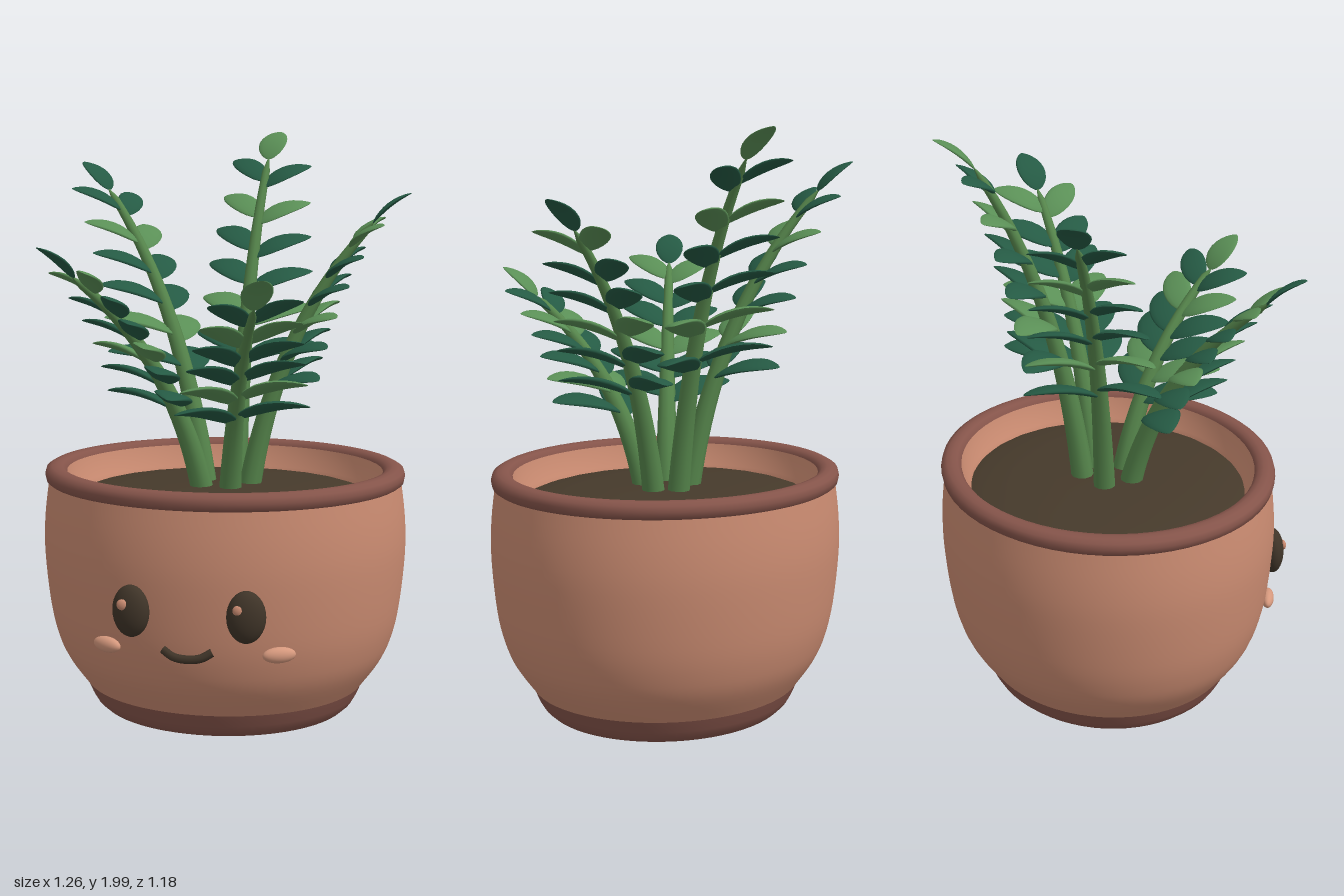
import * as THREE from 'three';

const mat = (name, color) => {
  const m = new THREE.MeshStandardMaterial({ color });
  m.name = name;
  return m;
};
const V2 = (x, y) => new THREE.Vector2(x, y);
const V3 = (x, y, z) => new THREE.Vector3(x, y, z);
const UP = V3(0, 1, 0);
const { lerp, clamp } = THREE.MathUtils;

// unit leaf along +z: a flattened lens with a pointed tip and an arched spine
function leafGeometry() {
  const g = new THREE.SphereGeometry(1, 14, 12);
  const p = g.attributes.position;
  for (let i = 0; i < p.count; i++) {
    const u = clamp((p.getY(i) + 1) / 2, 0, 1);
    const r = Math.sqrt(Math.max(1e-9, 1 - (2 * u - 1) ** 2));
    const w = Math.pow(u, 0.6) * Math.pow(1 - u, 0.7) / 0.41;
    const c = p.getX(i) / r, s = p.getZ(i) / r;
    p.setXYZ(i, c * w * 0.24, -s * w * 0.05 + 0.35 * u * (1 - u), u);
  }
  g.computeVertexNormals();
  return g;
}

// tube that tapers along its curve and closes at the tip
function taperedTube(curve, r0, r1) {
  const n = 20, sides = 10;
  const g = new THREE.TubeGeometry(curve, n, 1, sides);
  const p = g.attributes.position, v = V3();
  for (let i = 0; i <= n; i++) {
    const c = curve.getPointAt(i / n);
    const r = i === n ? 0.001 : lerp(r0, r1, i / (n - 1));
    for (let j = 0; j <= sides; j++) {
      const k = i * (sides + 1) + j;
      v.fromBufferAttribute(p, k).sub(c).multiplyScalar(r).add(c);
      p.setXYZ(k, v.x, v.y, v.z);
    }
  }
  return g;
}

export function createModel() {
  const model = new THREE.Group();
  const clay = mat('clay', 0xca8b71);
  const darkClay = mat('dark clay', 0x85544a);
  const soilMat = mat('soil', 0x463a2b);
  const faceMat = mat('face brown', 0x3f3428);
  const blush = mat('blush', 0xd5987d);
  const stemMat = mat('stem green', 0x56864c);
  const lightLeaf = mat('light leaf', 0x5a8f56);
  const darkLeaf = mat('dark leaf', 0x255a44);

  const add = (parent, name, geo, material, pos = [0, 0, 0]) => {
    const m = new THREE.Mesh(geo, material);
    m.name = name;
    m.position.set(...pos);
    parent.add(m);
    return m;
  };
  const lathe = pts => new THREE.LatheGeometry(pts.map(p => V2(...p)), 64);

  // slightly oval pot
  const pot = new THREE.Group();
  pot.name = 'pot';
  pot.scale.z = 0.922;
  pot.position.z = -0.013;
  model.add(pot);

  const wall = new THREE.SplineCurve([
    V2(0.485, 0.09), V2(0.55, 0.18), V2(0.585, 0.26), V2(0.61, 0.37),
    V2(0.627, 0.55), V2(0.624, 0.68), V2(0.608, 0.81),
  ]).getPoints(24);
  add(pot, 'outer wall', new THREE.LatheGeometry(wall, 64), clay);
  add(pot, 'inner wall', lathe([[0.547, 0.83], [0.537, 0.79], [0.52, 0.755], [0.505, 0.72],
    [0.49, 0.6], [0.475, 0.4], [0.44, 0.2], [0.36, 0.12], [0.13, 0.1]]), clay);
  add(pot, 'foot', lathe([[0.13, 0.1], [0.135, 0.07], [0.16, 0.04], [0.22, 0.015], [0.32, 0.003],
    [0.4, 0], [0.432, 0.006], [0.453, 0.025], [0.468, 0.05], [0.487, 0.094]]), darkClay);
  add(pot, 'rim', lathe([[0.55, 0.79], [0.605, 0.79], [0.619, 0.8], [0.623, 0.82], [0.618, 0.838],
    [0.6, 0.848], [0.58, 0.85], [0.562, 0.846], [0.549, 0.833], [0.542, 0.81], [0.55, 0.79]]), darkClay);

  // gently mounded soil
  const mound = [[0.53, 0.735], [0.48, 0.752], [0.36, 0.768], [0.2, 0.778], [0, 0.782]];
  add(pot, 'soil', new THREE.LatheGeometry(mound.map(p => V2(...p)), 26), soilMat);

  // face
  const ball = new THREE.SphereGeometry(1, 24, 16);
  for (const s of [-1, 1]) {
    const eye = add(model, 'eye', ball, faceMat, [s * 0.187, 0.463, 0.548]);
    eye.scale.set(0.063, 0.085, 0.04);
    eye.rotation.y = s * 0.2;
    add(model, 'eyeGlint', ball, clay, [s * 0.187 - 0.02, 0.49, 0.58]).scale.set(0.018, 0.018, 0.01);
    const cheek = add(model, 'cheek', ball, blush, [s * 0.283, 0.33, 0.492]);
    cheek.scale.set(0.055, 0.026, 0.022);
    cheek.rotation.y = s * 0.45;
  }
  const smile = new THREE.CatmullRomCurve3([V3(-0.08, 0.345, 0.557), V3(-0.045, 0.326, 0.566),
    V3(0, 0.32, 0.568), V3(0.045, 0.326, 0.566), V3(0.08, 0.345, 0.557)]);
  add(model, 'mouth', new THREE.TubeGeometry(smile, 24, 0.014, 8), faceMat);

  // stems: base and tip, and which leaf rows (0 = tip) are light
  const leafGeo = leafGeometry();
  const stems = [
    { base: [0.025, -0.095], tip: [0.075, 1.9, -0.435], light: [0, 2, 5] },
    { base: [0.085, -0.035], tip: [0.5, 1.68, -0.095], light: [1, 4] },
    { base: [0.035, 0.06], tip: [0.19, 1.42, 0.445], light: [0, 2, 5] },
    { base: [-0.065, 0.05], tip: [-0.42, 1.51, 0.38], light: [1, 4] },
    { base: [-0.075, -0.05], tip: [-0.485, 1.79, -0.28], light: [2, 5] },
  ];
  const rows = 6;
  for (const { base, tip, light } of stems) {
    const plant = new THREE.Group();
    plant.name = 'leafStalk';
    model.add(plant);
    const a = V3(base[0], 0.765, base[1]), b = V3(...tip);
    const mid = a.clone().lerp(b, 0.23);
    mid.y = lerp(a.y, b.y, 0.63);
    const curve = new THREE.QuadraticBezierCurve3(a, mid, b);
    add(plant, 'stem', taperedTube(curve, 0.039, 0.014), stemMat);

    const out = b.clone().sub(a).setY(0).normalize();
    const side = V3().crossVectors(UP, out);
    const addLeaf = (row, pos, dir, length, lean, widen = 1) => {
      dir.normalize();
      const n = UP.clone().addScaledVector(out, lean);
      n.addScaledVector(dir, -n.dot(dir)).normalize();
      const leaf = add(plant, 'leaf', leafGeo, light.includes(row) ? lightLeaf : darkLeaf, pos.toArray());
      leaf.quaternion.setFromRotationMatrix(
        new THREE.Matrix4().makeBasis(V3().crossVectors(n, dir), n, dir));
      leaf.scale.set(length * widen, length, length);
    };

    // end leaf, then staggered pairs that grow longer toward the soil
    addLeaf(0, curve.getPoint(0.99), out.clone().addScaledVector(UP, 0.78), 0.165, 0, 1.3);
    for (let row = 1; row <= rows; row++) {
      const f = (row - 1) / (rows - 1);
      const t = lerp(0.89, 0.33, Math.pow(f, 0.88));
      for (const s of [-1, 1]) {
        const dir = side.clone().multiplyScalar(s * 0.8)
          .addScaledVector(out, 0.54).addScaledVector(UP, lerp(0.4, 0.2, f));
        addLeaf(row, curve.getPoint(t + s * 0.012), dir, lerp(0.195, 0.275, f), lerp(-0.5, -0.3, f));
      }
    }
  }
  return model;
}
